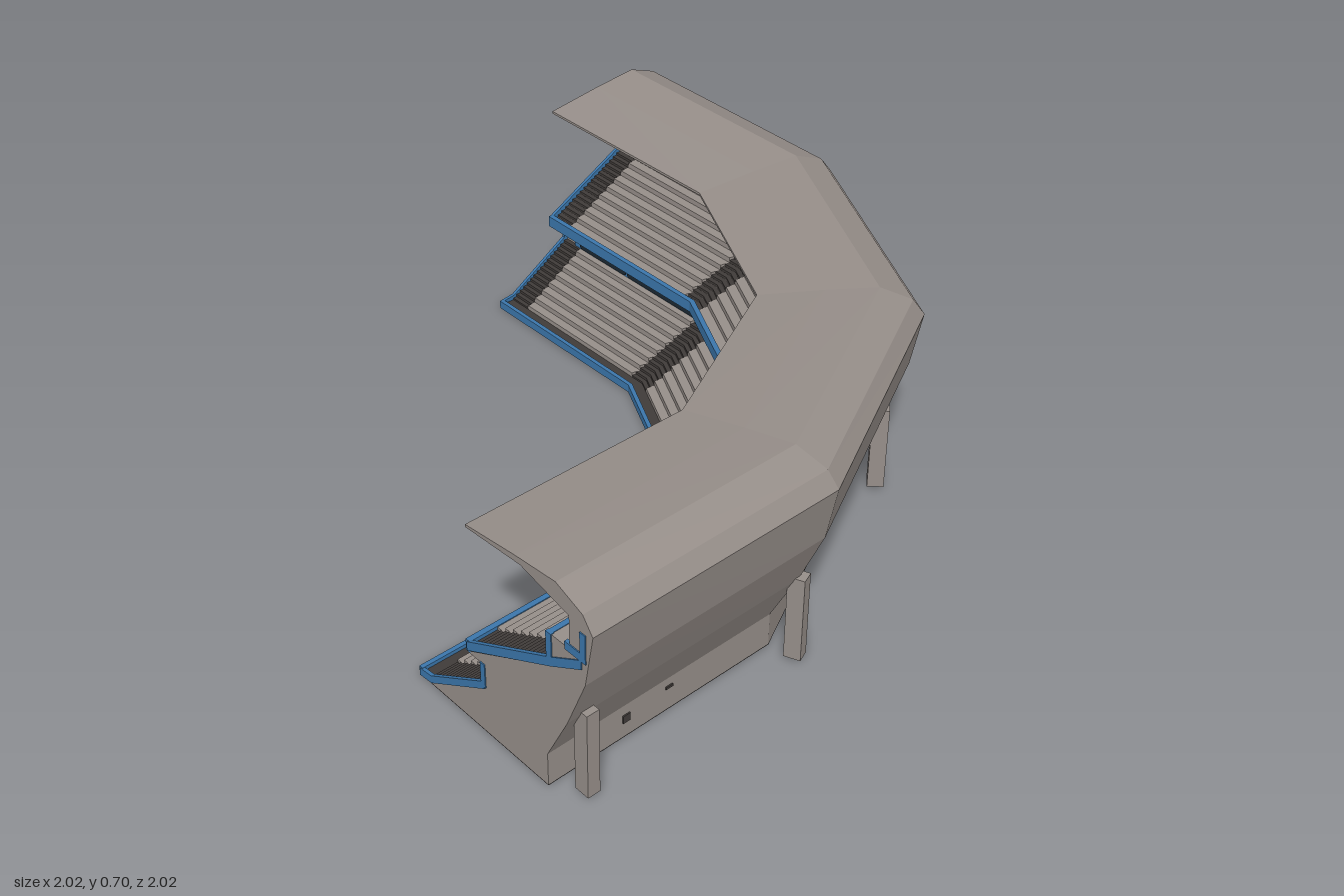
import * as THREE from 'three';

const mat = (name, color, extra = {}) => {
  const m = new THREE.MeshStandardMaterial({ color, ...extra });
  m.name = name;
  return m;
};

export function createModel() {
  const concrete = mat('warm grey concrete', 0x968e89);
  const dark = mat('dark aisle', 0x403b39);
  const blue = mat('blue trim', 0x3b76ab);
  const glass = mat('dark glass', 0x1b2832);
  const root = new THREE.Group();

  // Plan: five mitre lines of the bent stand, each a point for a radius r
  const miters = [
    r => [-1, -r - 0.02 * (r - 0.3)],
    r => [-0.4 + 0.225 * r, -r],
    r => [0.09 + 0.72 * (r - 0.3), -0.09 - 0.72 * (r - 0.3)],
    r => [r, 0.4 - 0.225 * r],
    r => [r + 0.02 * (r - 0.3), 1],
  ];
  // A station d units from the start (d >= 0) or the end (fromEnd) of a bay
  const station = (bay, d, fromEnd = false) => r => {
    const a = miters[bay](r), b = miters[bay + 1](r);
    const len = Math.hypot(b[0] - a[0], b[1] - a[1]);
    const t = fromEnd ? 1 - d / len : d / len;
    return [a[0] + (b[0] - a[0]) * t, a[1] + (b[1] - a[1]) * t];
  };

  // Sweep a closed (r, y) section through stations, with end caps
  function sweep(name, section, stations, material) {
    let pts = section.map(p => new THREE.Vector2(p[0], p[1]));
    if (THREE.ShapeUtils.isClockWise(pts)) pts = pts.reverse();
    const n = pts.length, pos = [];
    const put = (s, j) => {
      const p = pts[j % n], [x, z] = stations[s](p.x);
      pos.push(x, p.y, z);
    };
    for (let s = 0; s < stations.length - 1; s++) {
      for (let j = 0; j < n; j++) {
        put(s, j); put(s, j + 1); put(s + 1, j + 1);
        put(s, j); put(s + 1, j + 1); put(s + 1, j);
      }
    }
    for (const [a, b, c] of THREE.ShapeUtils.triangulateShape(pts, [])) {
      const e = stations.length - 1;
      put(e, a); put(e, b); put(e, c);
      put(0, c); put(0, b); put(0, a);
    }
    const g = new THREE.BufferGeometry();
    g.setAttribute('position', new THREE.Float32BufferAttribute(pos, 3));
    g.computeVertexNormals();
    const m = new THREE.Mesh(g, material);
    m.name = name;
    root.add(m);
  }
  const rect = (r0, r1, y0, y1) => [[r0, y0], [r1, y0], [r1, y1], [r0, y1]];

  // Concrete body: base, bulging outer shell, canopy and tier supports
  sweep('shellAndCanopy', [
    [0.29, 0.003], [0.82, 0.003], [0.82, 0.11], [0.9, 0.275], [0.97, 0.45], [1, 0.62],
    [0.965, 0.668], [0.87, 0.705], [0.72, 0.69], [0.53, 0.665], [0.53, 0.657], [0.74, 0.672],
    [0.915, 0.632], [0.915, 0.528], [0.845, 0.528], [0.845, 0.435], [0.51, 0.25], [0.51, 0.236],
    [0.575, 0.236], [0.575, 0.16], [0.34, 0.012], [0.29, 0.012],
  ], miters, concrete);
  sweep('underside', rect(0.29, 0.82, 0, 0.003), miters, dark);
  sweep('frontWalkway', rect(0.295, 0.34, 0.01, 0.016), miters, dark);

  // Stepped seating, with finer dark steps in the aisles
  function steps(r0, y0, r1, y1, n) {
    const p = [[r1, y1 - 0.012], [r0, y0 - 0.012]];
    for (let i = 0; i < n; i++) {
      const ra = r0 + (r1 - r0) * i / n, rb = r0 + (r1 - r0) * (i + 1) / n;
      const y = y0 + (y1 - y0) * (i + 1) / n;
      p.push([ra, y - (y1 - y0) / n], [ra, y], [rb, y]);
    }
    return p;
  }
  const tiers = [
    { name: 'lower', line: [0.335, 0.013, 0.575, 0.162], rows: 8 },
    { name: 'upper', line: [0.52, 0.255, 0.845, 0.435], rows: 10 },
  ];
  for (const { name, line, rows } of tiers) {
    const seats = steps(...line, rows), stairs = steps(...line, rows * 2);
    for (let b = 0; b < 4; b++) {
      const a = station(b, b === 0 ? 0.09 : 0.05), e = station(b, b === 3 ? 0.09 : 0.05, true);
      sweep(name + 'Seats', seats, [a, e], concrete);
    }
    for (let c = 1; c < 4; c++) {
      sweep(name + 'Aisle', stairs, [station(c - 1, 0.05, true), miters[c], station(c, 0.05)], dark);
    }
    sweep(name + 'EndAisle', stairs, [miters[0], station(0, 0.09)], dark);
    sweep(name + 'EndAisle', stairs, [station(3, 0.09, true), miters[4]], dark);
  }

  // Blue rails along the front of every level
  sweep('lowerRail', rect(0.285, 0.299, 0, 0.028), miters, blue);
  sweep('upperRail', rect(0.503, 0.52, 0.238, 0.276), miters, blue);
  sweep('suiteRail', rect(0.832, 0.848, 0.512, 0.53), miters, blue);
  sweep('glassSill', rect(0.9, 0.917, 0.528, 0.538), miters, blue);

  // Blue trim on both open ends
  const band = (pts, t) => [...pts, ...pts.slice().reverse().map(([r, y]) => [r, y + t])];
  const trims = [
    band([[0.29, 0], [0.34, 0.006], [0.575, 0.155]], 0.026),
    band([[0.51, 0.242], [0.845, 0.425], [0.96, 0.495]], 0.03),
    rect(0.562, 0.58, 0.16, 0.24),
    rect(0.83, 0.85, 0.44, 0.53),
    rect(0.9, 0.975, 0.52, 0.545),
    rect(0.955, 0.975, 0.545, 0.61),
  ];
  for (const t of trims) {
    sweep('endTrim', t, [r => { const p = miters[0](r); return [p[0] - 0.003, p[1]]; }, station(0, 0.008)], blue);
    sweep('endTrim', t, [station(3, 0.008, true), r => { const p = miters[4](r); return [p[0], p[1] + 0.003]; }], blue);
  }

  // Rounded thin plate in the local xy plane
  function plate(x0, x1, y0, y1, rad, depth) {
    const s = new THREE.Shape();
    s.moveTo(x0 + rad, y0);
    s.lineTo(x1 - rad, y0); s.quadraticCurveTo(x1, y0, x1, y0 + rad);
    s.lineTo(x1, y1 - rad); s.quadraticCurveTo(x1, y1, x1 - rad, y1);
    s.lineTo(x0 + rad, y1); s.quadraticCurveTo(x0, y1, x0, y1 - rad);
    s.lineTo(x0, y0 + rad); s.quadraticCurveTo(x0, y0, x0 + rad, y0);
    return new THREE.ExtrudeGeometry(s, { depth, bevelEnabled: false, curveSegments: 3 });
  }
  // Framed window panel on the inner wall of one bay; cuts are pane fractions
  function windows(name, bay, r, y0, y1, gap, border, rad, cuts, frameMat) {
    const a = station(bay, bay === 0 ? 0.06 : gap)(r), b = station(bay, bay === 3 ? 0.06 : gap, true)(r);
    const dx = b[0] - a[0], dz = b[1] - a[1], w = Math.hypot(dx, dz);
    const g = new THREE.Group();
    g.name = name;
    g.position.set(a[0], 0, a[1]);
    g.rotation.y = Math.atan2(-dz, dx);
    g.add(new THREE.Mesh(plate(0, w, y0, y1, 0.002, 0.008), frameMat));
    const inner = w - 2 * border;
    for (let i = 0; i < cuts.length - 1; i++) {
      const p = plate(border + inner * cuts[i] + 0.004, border + inner * cuts[i + 1] - 0.004,
        y0 + border * 0.6, y1 - border * 0.6, rad, 0.004);
      p.translate(0, 0, 0.0075);
      g.add(new THREE.Mesh(p, glass));
    }
    g.children.forEach((m, i) => { m.name = i ? 'pane' : 'frame'; });
    root.add(g);
  }
  const fifths = [0, 0.2, 0.4, 0.6, 0.8, 1];
  for (let b = 0; b < 4; b++) {
    const split = b === 0 ? 0.42 : b === 3 ? 0.58 : 0.5;
    windows('lowerSuiteWindows', b, 0.575, 0.15, 0.24, 0.03, 0.026, 0.012, [0, split, 1], blue);
    windows('upperSuiteWindows', b, 0.845, 0.428, 0.515, 0.03, 0.026, 0.012, [0, 0.5, 1], blue);
    windows('topGlazing', b, 0.915, 0.538, 0.622, 0.004, 0.006, 0.003, fifths, dark);
  }
  // Dark doorways at the bends between the suites
  for (let c = 1; c < 4; c++) {
    const around = [station(c - 1, 0.022, true), miters[c], station(c, 0.022)];
    sweep('lowerDoorway', rect(0.57, 0.577, 0.16, 0.236), around, dark);
    sweep('upperDoorway', rect(0.84, 0.847, 0.435, 0.512), around, dark);
  }

  // Outer support posts
  const posts = [station(0, 0.06), miters[1], miters[2], miters[3], station(3, 0.06, true)];
  posts.forEach((at, i) => {
    const [x, z] = at(0.902);
    const post = new THREE.Mesh(new THREE.BoxGeometry(0.05, 0.28, 0.04), concrete);
    post.position.set(x, 0.15, z);
    post.rotation.y = Math.PI / 2 - i * Math.PI / 8;
    post.name = 'supportPost';
    root.add(post);
  });

  // Small vents on the outside of the base
  for (let b = 0; b < 4; b++) {
    for (const [d, y, w, h] of [[0.25, 0.065, 0.025, 0.025], [0.4, 0.08, 0.025, 0.008]]) {
      const s = station(b, d, b > 1), e = station(b, d + w, b > 1);
      sweep('baseVent', rect(0.815, 0.824, y - h / 2, y + h / 2), b > 1 ? [e, s] : [s, e], dark);
    }
  }
  return root;
}
